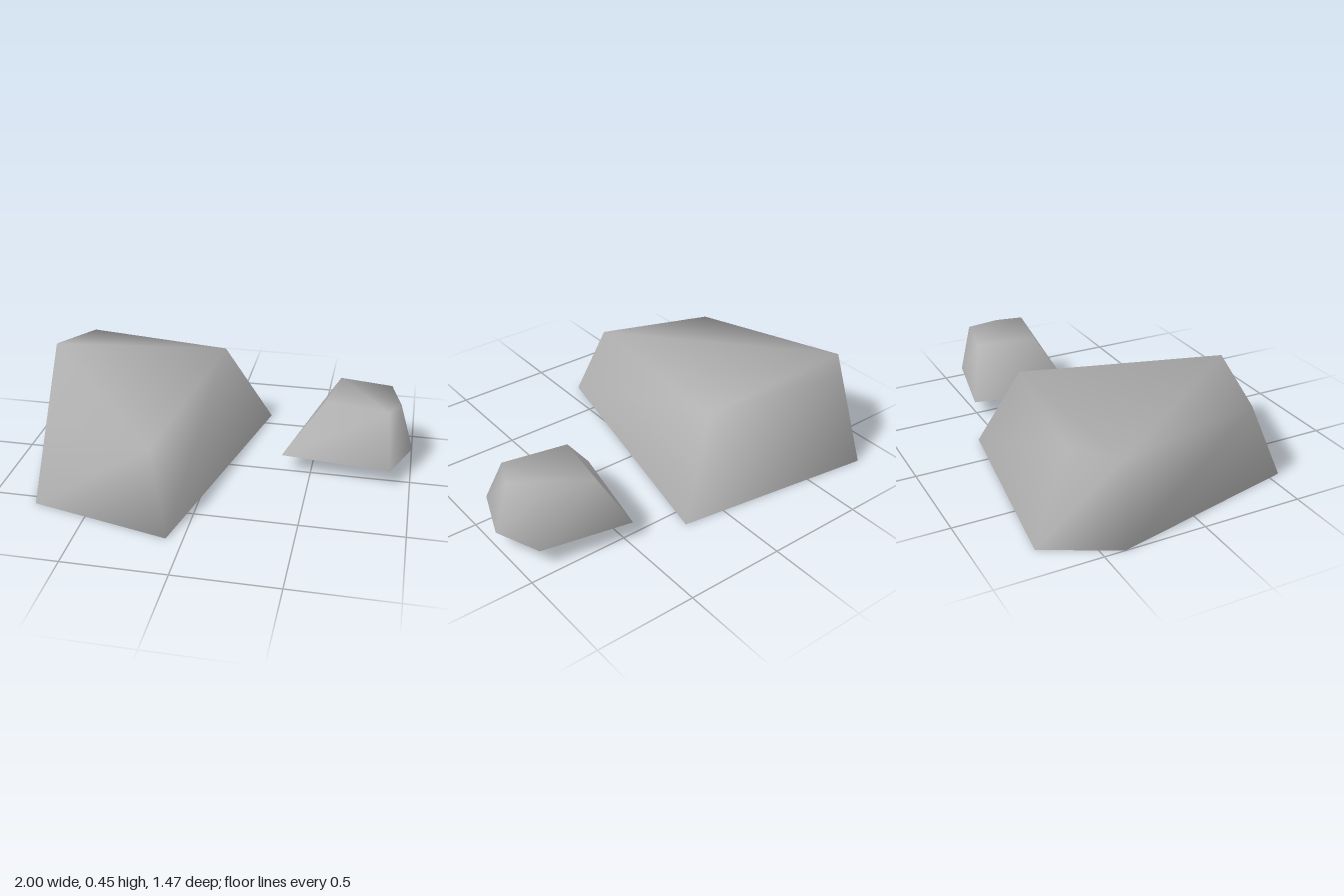
import * as THREE from 'three';

const stone = new THREE.MeshStandardMaterial({ color: 0xb0b0b0, side: THREE.DoubleSide });
stone.name = 'stone grey';

// Hollow rock: a base ring and a smaller top ring (clockwise from above), capped on top, open below
function makeRock(name, base, top) {
  const n = base.length;
  const index = [];
  for (let i = 0; i < n; i++) {
    const j = (i + 1) % n;
    index.push(j, i, n + i, j, n + i, n + j);
  }
  for (let i = 1; i < n - 1; i++) index.push(n, n + i + 1, n + i);

  const geometry = new THREE.BufferGeometry();
  geometry.setAttribute('position', new THREE.Float32BufferAttribute([...base, ...top].flat(), 3));
  geometry.setIndex(index);
  geometry.computeVertexNormals(); // shared corners give soft shading
  const mesh = new THREE.Mesh(geometry, stone);
  mesh.name = name;
  return mesh;
}

export function createModel() {
  const group = new THREE.Group();
  group.name = 'rocks';

  // Large slab-like rock
  group.add(makeRock('largeRock',
    [[-1, 0, -0.4], [-0.82, 0, -0.74], [0.21, 0, -0.6], [-0.08, 0, 0.73], [-0.77, 0, 0.56]],
    [[-0.97, 0.425, -0.4], [-0.8, 0.45, -0.58], [-0.03, 0.45, -0.46], [-0.18, 0.385, 0.6], [-0.74, 0.385, 0.4]]));

  // Small rock, set slightly higher
  const y = 0.085;
  group.add(makeRock('smallRock',
    [[0.46, y, -0.52], [0.91, y, -0.43], [1, y, -0.2], [0.9, y, 0.06], [0.35, y, 0]],
    [[0.6, 0.345, -0.435], [0.87, 0.345, -0.385], [0.925, 0.333, -0.2], [0.87, 0.345, -0.07], [0.55, 0.345, -0.13]]));

  return group;
}
